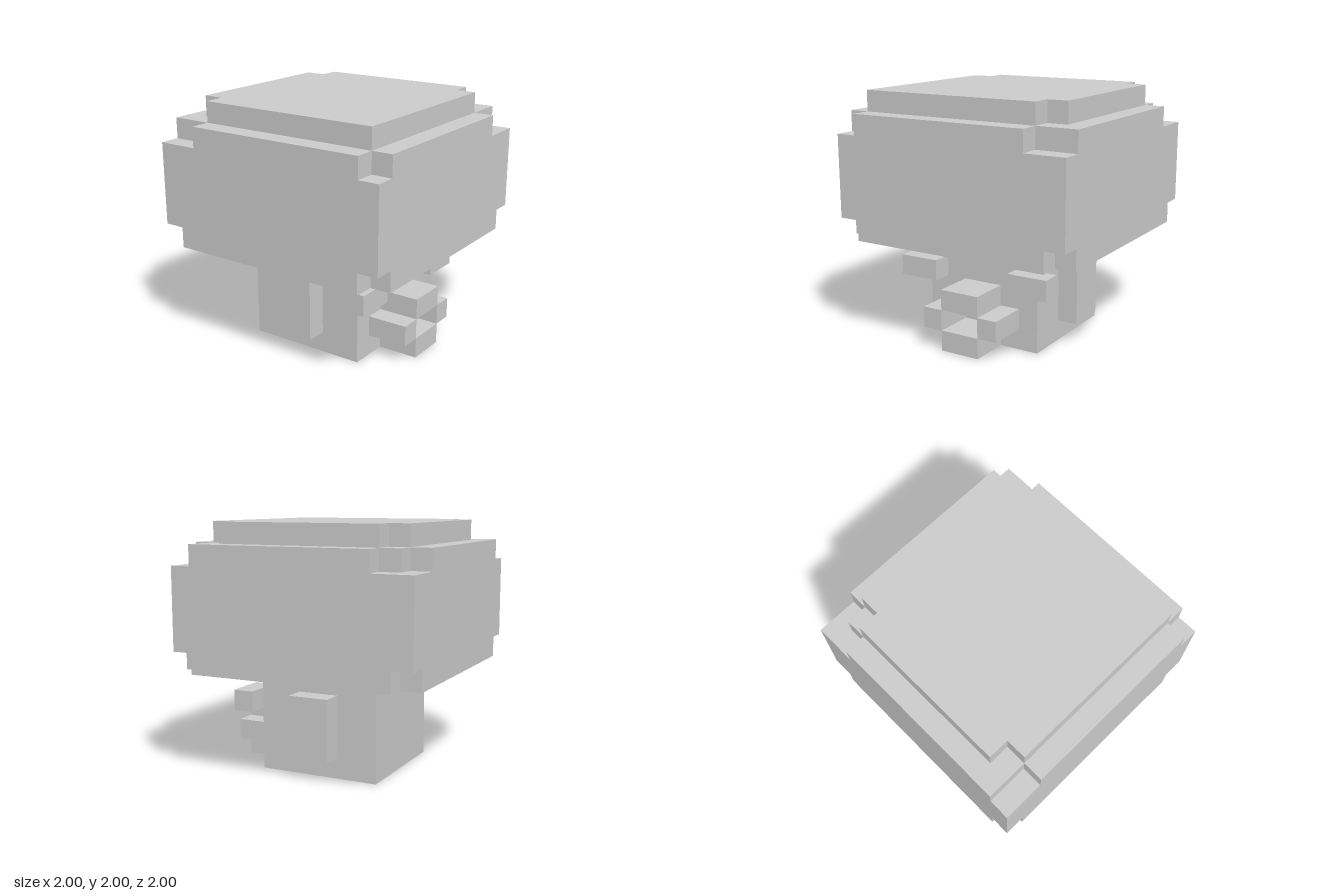
import * as THREE from 'three';

const U = 1 / 6; // one block
const material = new THREE.MeshStandardMaterial({ color: 0xcccccc, flatShading: true });

// Box between two corners, given in blocks
function block(name, [x0, y0, z0], [x1, y1, z1]) {
  const geo = new THREE.BoxGeometry((x1 - x0) * U, (y1 - y0) * U, (z1 - z0) * U);
  const mesh = new THREE.Mesh(geo, material);
  mesh.position.set((x0 + x1) / 2 * U, (y0 + y1) / 2 * U, (z0 + z1) / 2 * U);
  mesh.name = name;
  return mesh;
}

// Horizontal slab with an (x, z) outline, in blocks
function slab(name, outline, y0, y1) {
  const shape = new THREE.Shape(outline.map(([x, z]) => new THREE.Vector2(x * U, -z * U)));
  const geo = new THREE.ExtrudeGeometry(shape, { depth: (y1 - y0) * U, bevelEnabled: false });
  geo.rotateX(-Math.PI / 2);
  const mesh = new THREE.Mesh(geo, material);
  mesh.position.y = y0 * U;
  mesh.name = name;
  return mesh;
}

export function createModel() {
  const model = new THREE.Group();
  model.name = 'mushroomFigure';

  // Body
  model.add(block('body', [-3, 0, -3], [3, 5, 3]));

  // Arms and eyes, mirrored
  for (const [side, s] of [['left', 1], ['right', -1]]) {
    const span = (a, b) => (s > 0 ? [a, b] : [-b, -a]);
    const [a0, a1] = span(3, 4);
    model.add(block(side + 'Arm', [a0, 1, -1], [a1, 4, 1]));
    const [e0, e1] = span(2, 4);
    model.add(block(side + 'Eye', [e0, 3, 3], [e1, 4, 4]));
  }

  // Mouth: four blocks around an open centre
  const mouth = new THREE.Group();
  mouth.name = 'mouth';
  mouth.add(
    block('upperLip', [-1, 2, 3], [1, 3, 5]),
    block('lowerLip', [-1, 0, 3], [1, 1, 5]),
    block('leftCheek', [1, 1, 3], [2, 2, 5]),
    block('rightCheek', [-2, 1, 3], [-1, 2, 5]),
  );
  model.add(mouth);

  // Cap: stacked layers with uneven corner cuts
  const cap = new THREE.Group();
  cap.name = 'cap';
  cap.add(
    slab('capRim', [
      [-5, 6], [5, 6], [5, 5], [6, 5], [6, -5], [5, -5],
      [5, -6], [-5, -6], [-5, -5], [-6, -5], [-6, 5], [-5, 5],
    ], 5, 6),
    block('capMiddle', [-6, 6, -6], [6, 10, 6]),
    slab('capShoulder', [
      [-5, 6], [4, 6], [4, 5], [6, 5], [6, -4], [5, -4], [5, -5], [4, -5],
      [4, -6], [-5, -6], [-5, -4], [-6, -4], [-6, 5], [-5, 5],
    ], 10, 11),
    slab('capTop', [
      [-5, 5], [4, 5], [4, 4], [5, 4], [5, -4], [4, -4],
      [4, -5], [-4, -5], [-4, -4], [-5, -4],
    ], 11, 12),
  );
  model.add(cap);

  return model;
}
